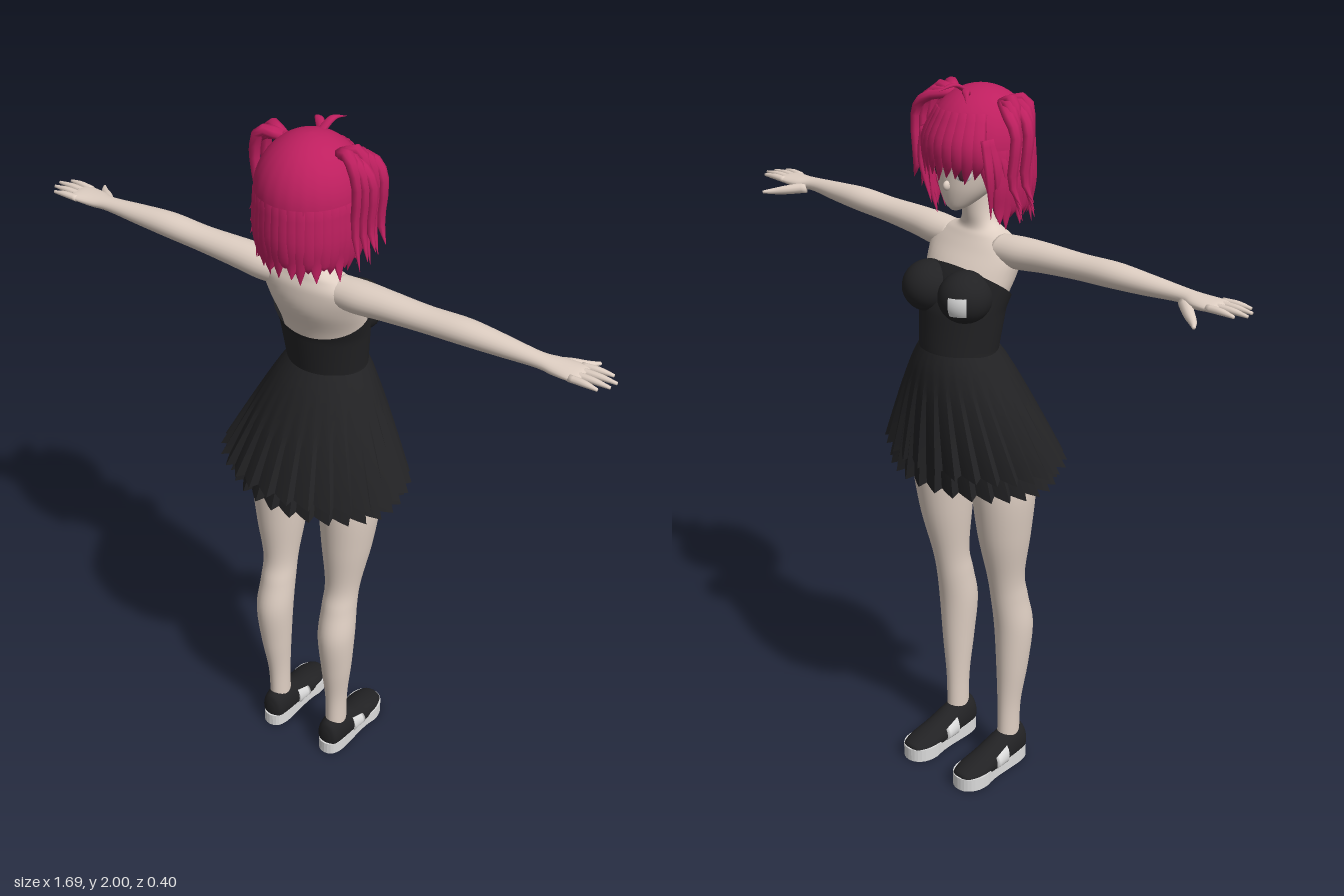
import * as THREE from 'three';
import { toCreasedNormals } from 'three/addons/utils/BufferGeometryUtils.js';

const V = (x, y, z) => new THREE.Vector3(x, y, z);
const UP = V(0, 1, 0), RIGHT = V(1, 0, 0);

function material(name, color, double) {
  const m = new THREE.MeshStandardMaterial({ color });
  m.name = name;
  if (double) m.side = THREE.DoubleSide;
  return m;
}

// Surface closed around its first direction: f(i, j) gives each point
function grid(n, m, f) {
  const pos = [], idx = [];
  for (let j = 0; j <= m; j++) for (let i = 0; i < n; i++) pos.push(...f(i, j).toArray());
  for (let j = 0; j < m; j++) for (let i = 0; i < n; i++) {
    const k = (i + 1) % n, a = j * n + i, b = j * n + k, c = a + n, d = b + n;
    idx.push(a, b, d, a, d, c);
  }
  const g = new THREE.BufferGeometry();
  g.setAttribute('position', new THREE.Float32BufferAttribute(pos, 3));
  g.setIndex(idx);
  g.computeVertexNormals();
  return g;
}

// Capped elliptical loft; rows are [x, y, z, radius along u, other radius]
function loft(rows, axis, u, n = 24, m = 36) {
  const path = new THREE.CatmullRomCurve3(rows.map(r => V(r[0], r[1], r[2])), false, 'catmullrom');
  const size = new THREE.CatmullRomCurve3(rows.map(r => V(r[3], r[4], 0)), false, 'catmullrom');
  return grid(n, m + 2, (i, j) => {
    const t = THREE.MathUtils.clamp((j - 1) / m, 0, 1), c = path.getPoint(t), s = size.getPoint(t);
    if (j === 0 || j === m + 2) return c;
    const d = axis || path.getTangent(t);
    const a = u.clone().addScaledVector(d, -u.dot(d)).normalize(), b = d.clone().cross(a);
    const th = i / n * Math.PI * 2;
    return c.addScaledVector(a, Math.cos(th) * s.x).addScaledVector(b, Math.sin(th) * s.y);
  });
}

// Tapered hair lock through a few points
function lock(points, width, thick, u) {
  const k = points.length - 1;
  return loft(points.map((p, i) => {
    const w = i === k ? 0.04 : 1 - 0.5 * (i / k) ** 2;
    return [...p, width * w, thick * w];
  }), null, u, 8, 10);
}

const TORSO = [
  [0, 0.93, 0, 0.1, 0.07], [0, 1.0, 0, 0.17, 0.105], [0, 1.15, -0.03, 0.145, 0.1],
  [0, 1.31, -0.06, 0.104, 0.088], [0, 1.43, -0.045, 0.12, 0.088], [0, 1.52, -0.012, 0.14, 0.086],
  [0, 1.58, 0.01, 0.148, 0.066], [0, 1.612, 0.016, 0.11, 0.05], [0, 1.632, 0.018, 0.06, 0.042],
  [0, 1.67, 0.01, 0.04, 0.038], [0, 1.75, 0, 0.038, 0.038]];

function torsoAt(y) {
  let k = 0;
  while (k < TORSO.length - 2 && TORSO[k + 1][1] < y) k++;
  const t = (y - TORSO[k][1]) / (TORSO[k + 1][1] - TORSO[k][1]);
  return TORSO[k].map((v, i) => v + (TORSO[k + 1][i] - v) * t);
}

// Pleated skirt layer from hem to waist
function skirt(hem, a, b, cz) {
  const n = 112, m = 10;
  const g = grid(n, m, (i, j) => {
    const t = 1 - j / m, th = i / n * Math.PI * 2, flare = t ** 0.9;
    const pleat = 1 + ((i % 4) / 3 - 0.6) * 0.09 * t;
    const ra = (0.11 + (a - 0.11) * flare) * pleat, rb = (0.1 + (b - 0.1) * t ** 0.75) * pleat;
    const y = 1.32 + (hem - 1.32) * t - (i % 4) * 0.004 * t;
    return V(ra * Math.cos(th), y, -0.06 + (cz + 0.06) * t - rb * Math.sin(th));
  });
  return toCreasedNormals(g, 0.5);
}

export function createModel() {
  const root = new THREE.Group();
  root.name = 'figure';
  const skin = material('skin', 0xe0d0c4), hair = material('hair', 0xbe1f5f, true);
  const black = material('blackCloth', 0x222224, true), white = material('white', 0xdcdcdc, true);
  const dark = material('darkEye', 0x4a2030);
  const add = (name, geo, mat, parent = root) => {
    const mesh = new THREE.Mesh(geo, mat);
    mesh.name = name;
    parent.add(mesh);
    return mesh;
  };
  const ball = (name, mat, c, r) => {
    const mesh = add(name, new THREE.SphereGeometry(1, 28, 20), mat);
    mesh.position.set(...c);
    mesh.scale.set(...r);
    return mesh;
  };

  // Body and head
  add('torso', loft(TORSO, UP, RIGHT, 36, 60), skin);
  add('head', loft([
    [0, 1.685, -0.068, 0.012, 0.012], [0, 1.7, -0.055, 0.036, 0.036], [0, 1.74, -0.028, 0.072, 0.07],
    [0, 1.79, -0.008, 0.095, 0.09], [0, 1.85, 0, 0.105, 0.1], [0, 1.92, 0, 0.08, 0.08]], UP, RIGHT, 32, 30), skin);
  ball('nose', skin, [0, 1.752, -0.098], [0.009, 0.013, 0.013]);

  // Dress: bodice rising to the bust side, two pleated layers
  add('bodice', grid(48, 16, (i, j) => {
    const th = i / 48 * Math.PI * 2, y = 1.29 + j / 16 * (0.2 + 0.055 * Math.sin(th));
    const r = torsoAt(y);
    return V((r[3] + 0.008) * Math.cos(th), y, r[2] - (r[4] + 0.008) * Math.sin(th));
  }), black);
  add('skirtOuter', skirt(1.01, 0.275, 0.195, 0), black);
  add('skirtUnder', skirt(0.955, 0.25, 0.185, -0.008), black);
  const patch = add('bustPatch', new THREE.SphereGeometry(1.03, 5, 5, 4.85, 0.7, 1.3, 0.75), white);
  patch.position.set(-0.065, 1.475, -0.1);
  patch.scale.set(0.07, 0.068, 0.074);

  for (const s of [1, -1]) {
    const side = s > 0 ? 'left' : 'right';
    ball(side + 'Bust', black, [s * 0.065, 1.475, -0.1], [0.07, 0.068, 0.074]);

    // Eyes
    const eye = ball(side + 'Eye', white, [s * 0.045, 1.785, -0.087], [0.022, 0.017, 0.004]);
    const iris = ball(side + 'Iris', dark, [s * 0.044, 1.785, -0.0895], [0.011, 0.015, 0.004]);
    eye.rotation.y = iris.rotation.y = -0.47 * s;

    // Arm, palm, fingers and thumb
    const along = V(s, 0, 0);
    add(side + 'Arm', loft([
      [0.08, 1.58, 0.012, 0.04, 0.045], [0.15, 1.583, 0.015, 0.042, 0.048], [0.23, 1.588, 0.018, 0.038, 0.043],
      [0.34, 1.592, 0.02, 0.033, 0.038], [0.45, 1.597, 0.02, 0.032, 0.038], [0.55, 1.597, 0.022, 0.026, 0.031],
      [0.65, 1.597, 0.025, 0.018, 0.024], [0.7, 1.595, 0.021, 0.017, 0.034], [0.75, 1.597, 0.022, 0.012, 0.04],
      [0.77, 1.598, 0.023, 0.007, 0.036]].map(r => [s * r[0], ...r.slice(1)]), along, UP, 24, 50), skin);
    [0.075, 0.095, 0.09, 0.07].forEach((len, k) => {
      const z = -0.008 + k * 0.0205, spread = (k - 1.5) * 0.004;
      add(side + 'Finger', loft([
        [s * 0.745, 1.598, z, 0.009, 0.01], [s * (0.75 + len / 2), 1.6, z + spread / 2, 0.008, 0.009],
        [s * (0.75 + len), 1.598, z + spread, 0.004, 0.004]], along, UP, 10, 8), skin);
    });
    add(side + 'Thumb', loft([
      [s * 0.67, 1.587, 0.008, 0.015, 0.016], [s * 0.71, 1.58, -0.028, 0.013, 0.014],
      [s * 0.74, 1.575, -0.053, 0.009, 0.01], [s * 0.762, 1.573, -0.077, 0.004, 0.004]], null, UP, 12, 12), skin);

    // Leg
    add(side + 'Leg', loft([
      [0.103, 0.07, 0.035, 0.028, 0.036], [0.104, 0.2, 0.037, 0.03, 0.038], [0.108, 0.33, 0.044, 0.042, 0.05],
      [0.109, 0.46, 0.047, 0.051, 0.06], [0.107, 0.56, 0.03, 0.048, 0.057], [0.108, 0.64, 0.014, 0.049, 0.057],
      [0.112, 0.78, 0.002, 0.069, 0.08], [0.113, 0.93, -0.004, 0.084, 0.094], [0.1, 1.03, -0.004, 0.08, 0.09]]
      .map(r => [s * r[0], ...r.slice(1)]), UP, RIGHT, 28, 50), skin);

    // Shoe: sole, upper and side panels
    const shoe = new THREE.Group();
    shoe.name = side + 'Shoe';
    shoe.position.x = s * 0.102;
    root.add(shoe);
    const outline = new THREE.Shape();
    outline.moveTo(0, -0.097);
    outline.bezierCurveTo(0.065, -0.095, 0.025, 0.02, 0.05, 0.1);
    outline.bezierCurveTo(0.06, 0.2, -0.06, 0.2, -0.05, 0.1);
    outline.bezierCurveTo(-0.025, 0.02, -0.065, -0.095, 0, -0.097);
    const sole = new THREE.ExtrudeGeometry(outline, { depth: 0.04, bevelEnabled: false, curveSegments: 16 });
    add('sole', sole.rotateX(-Math.PI / 2), white, shoe);
    const upper = [
      [0, 0.06, 0.092, 0.012, 0.02], [0, 0.06, 0.08, 0.032, 0.052], [0, 0.057, 0.04, 0.039, 0.064],
      [0, 0.05, -0.01, 0.042, 0.056], [0, 0.042, -0.06, 0.045, 0.042], [0, 0.036, -0.12, 0.046, 0.03],
      [0, 0.034, -0.16, 0.033, 0.02], [0, 0.034, -0.17, 0.015, 0.012]];
    const trim = g => {
      const p = g.attributes.position;
      for (let i = 0; i < p.count; i++) p.setY(i, Math.max(p.getY(i), 0.03));
      g.computeVertexNormals();
      return g;
    };
    add('upper', trim(loft(upper, V(0, 0, -1), RIGHT, 28, 32)), black, shoe);
    add('sidePanel', trim(loft([[0, 0.05, -0.005, 0.0455, 0.05], [0, 0.042, -0.055, 0.049, 0.036]],
      V(0, 0, -1), RIGHT, 28, 6)), white, shoe);

    // Pigtail and face-framing locks
    for (let k = 0; k < 6; k++) {
      const z = 0.045 - k * 0.015, o = (k % 3) * 0.012;
      add(side + 'Pigtail', lock([[s * 0.085, 1.955, 0.015], [s * (0.13 + o / 2), 1.965 - o, z],
        [s * (0.15 + o), 1.89, z - 0.005], [s * (0.142 + o), 1.78, z - 0.01],
        [s * (0.165 + o), 1.675 + o * 2, z]], 0.018, 0.014, V(0, 0, 1)), hair);
    }
    for (let k = 0; k < 3; k++) add(side + 'FaceLock', lock([[s * 0.105, 1.88, -0.07 + k * 0.02],
      [s * (0.118 + k * 0.005), 1.79, -0.068 + k * 0.025], [s * 0.105, 1.675 - k * 0.01, -0.05 + k * 0.025]],
      0.018, 0.008, V(0, 0, 1)), hair);
  }

  // Hair cap, open at the face, with a jagged edge
  add('hairCap', grid(96, 28, (i, j) => {
    const th = i / 96 * Math.PI * 2, t = j / 28;
    const open = THREE.MathUtils.smoothstep(-Math.sin(th), 0.55, 0.75);
    const edge = 1.705 + open * 0.11 + [0, 0.012, 0.025, 0.012][i % 4];
    const dome = Math.min(t * 2, 1) * Math.PI / 2, low = Math.max(t * 2 - 1, 0);
    const y = low ? 1.84 + (edge - 1.84) * low : 1.84 + 0.148 * Math.cos(dome);
    const r = Math.sin(dome) * (1 - 0.07 * low * low) * (1 + (i % 4 === 0 ? 0.012 : 0) * t);
    return V(0.135 * r * Math.cos(th), y, 0.02 + 0.143 * r * Math.sin(th));
  }), hair);

  // Hanging locks around the back and sides
  for (let k = 0; k < 27; k++) {
    const th = -0.4 + k / 26 * (Math.PI + 0.8), c = Math.cos(th), d = Math.sin(th);
    const at = (r, y) => [0.135 * r * c, y, 0.02 + 0.143 * r * d];
    add('backLock', lock([at(0.95, 1.85), at(0.99, 1.76), at(0.94, 1.7), at(0.86 + (k % 3) * 0.06, 1.645 + (k * 7 % 5) * 0.009)],
      0.021, 0.008, V(-d, 0, c)), hair);
  }

  // Fringe
  for (let k = -4; k <= 4; k++) {
    const th = -Math.PI / 2 + k * 0.19, c = Math.cos(th), d = Math.sin(th);
    const at = (r, y, x = 0) => [0.135 * r * c + x, y, 0.02 + 0.143 * r * d];
    add('fringeLock', lock([at(0.75, 1.935), at(1, 1.87), at(1.02, 1.82), at(0.95, 1.765 + (k * k % 3) * 0.012, 0.012)],
      0.021, 0.008, V(-d, 0, c)), hair);
  }
  // Small tufts on the crown
  add('crownTuft', lock([[0, 1.97, -0.02], [0.01, 1.995, -0.06], [0.02, 1.985, -0.105]], 0.012, 0.006, RIGHT), hair);
  add('crownTuft', lock([[0, 1.965, -0.03], [-0.03, 1.985, -0.06], [-0.06, 1.965, -0.09]], 0.012, 0.006, RIGHT), hair);
  return root;
}
